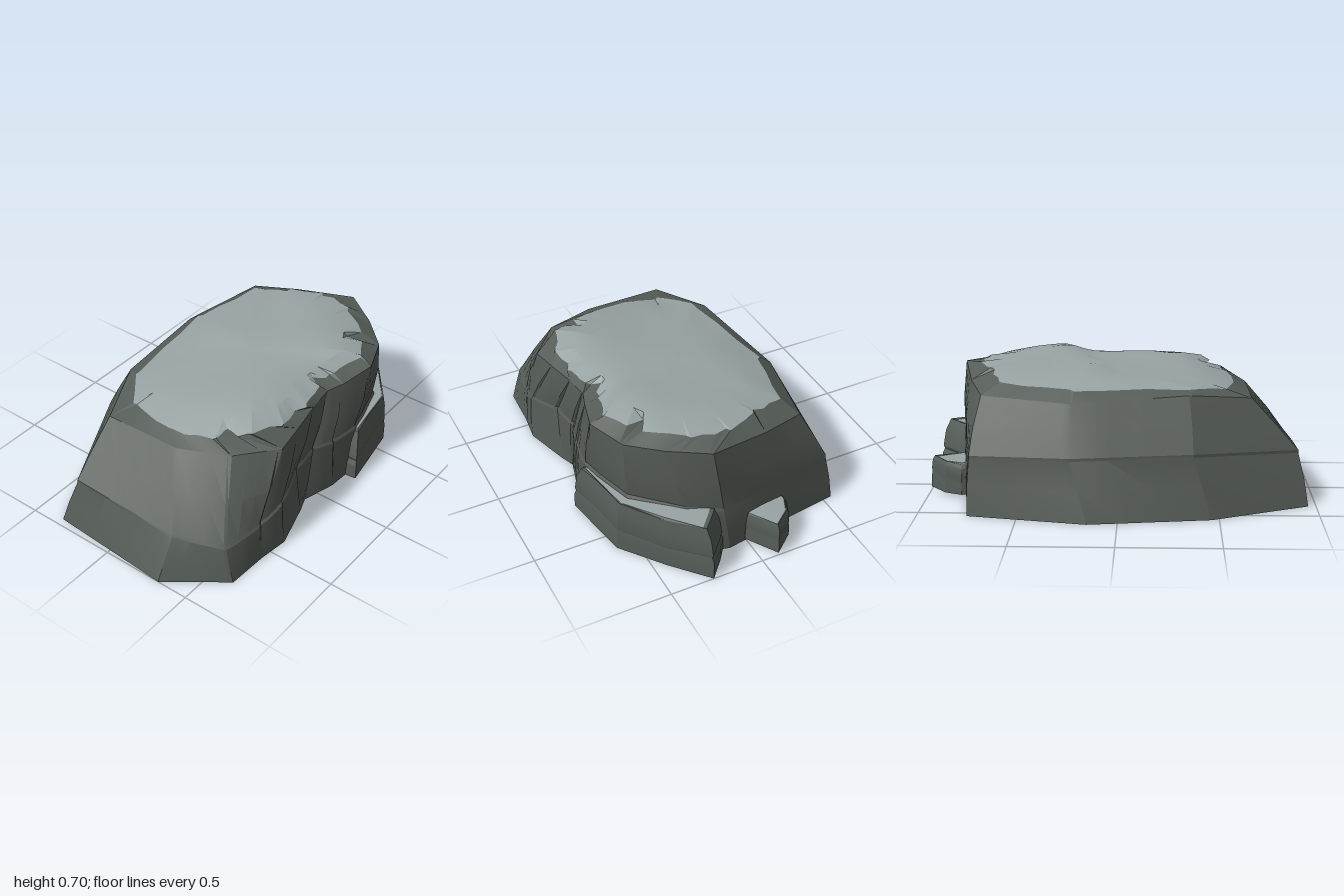
import * as THREE from 'three';
import { toCreasedNormals } from 'three/addons/utils/BufferGeometryUtils.js';

const stone = new THREE.MeshStandardMaterial({ color: 0x565d58 });
const pale = new THREE.MeshStandardMaterial({ color: 0x99a4a5 });

// Seeded random in -1..1
let seed = 7;
const rnd = () => {
  seed = (seed * 16807) % 2147483647;
  return (seed / 2147483647) * 2 - 1;
};

// Skin between closed rings, listed bottom to top, points clockwise from above
function loft(name, rings, material, crease = 0.3) {
  const pos = [];
  const tri = (a, b, c) => {
    const n = new THREE.Vector3().subVectors(b, a).cross(new THREE.Vector3().subVectors(c, a));
    if (n.length() > 1e-8) for (const p of [a, b, c]) pos.push(p.x, p.y, p.z);
  };
  for (let i = 0; i + 1 < rings.length; i++) {
    const lo = rings[i], hi = rings[i + 1];
    lo.forEach((a, j) => {
      const k = (j + 1) % lo.length;
      tri(a, hi[j], hi[k]);
      tri(a, hi[k], lo[k]);
    });
  }
  const g = new THREE.BufferGeometry();
  g.setAttribute('position', new THREE.Float32BufferAttribute(pos, 3));
  const mesh = new THREE.Mesh(toCreasedNormals(g, crease), material);
  mesh.name = name;
  return mesh;
}

const V = (x, y, z) => new THREE.Vector3(x, y, z);
const collapse = (ring, p) => ring.map(() => p.clone());

// Insert points along each side of a ring, at the given fractions
const SPLIT = [0, .08, .4, .7];
const subdivide = ring => ring.flatMap((p, i) =>
  SPLIT.map(t => p.clone().lerp(ring[(i + 1) % ring.length], t)));

// Scale a ring about a vertical axis at c, at a new height
const inset = (ring, c, k, y) =>
  ring.map(p => V(c.x + (p.x - c.x) * k, y, c.z + (p.z - c.z) * k));

// Main boulder outlines: foot (x, z), then belt, shoulder and pale edge (x, y, z)
const FOOT = [
  [-.96, -.34], [-.46, -.58], [.15, -.67], [.75, -.55], [.80, -.2], [.85, .1], [.80, .3], [.6, .55],
  [.28, .61], [.1, .6], [-.08, .55], [-.16, .58], [-.4, .65], [-.56, .63], [-.78, .62], [-1, .33]];
const BELT = [
  [-.91, .28, -.26], [-.37, .32, -.52], [.23, .31, -.58], [.74, .3, -.5],
  [.8, .3, -.18], [.85, .28, .14], [.78, .3, .31], [.58, .31, .53],
  [.28, .31, .62], [.1, .31, .6], [-.03, .33, .56], [-.2, .32, .58],
  [-.4, .27, .64], [-.55, .22, .62], [-.77, .2, .58], [-.9, .24, .34]];
const SHOULDER = [
  [-.67, .56, -.24], [-.35, .6, -.38], [.23, .57, -.46], [.69, .59, -.36],
  [.77, .62, -.12], [.84, .66, .2], [.71, .65, .39], [.57, .64, .54],
  [.37, .65, .62], [.19, .62, .57], [.1, .62, .54], [-.03, .61, .55],
  [-.2, .6, .58], [-.37, .58, .6], [-.56, .58, .44], [-.66, .56, .18]];
const EDGE = [
  [-.57, .59, -.18], [-.38, .62, -.31], [.22, .62, -.39], [.6, .64, -.3],
  [.67, .675, -.12], [.75, .68, .06], [.70, .68, .25], [.57, .68, .44],
  [.38, .68, .55], [.2, .65, .5], [.08, .65, .5], [-.08, .64, .54],
  [-.27, .63, .53], [-.43, .65, .46], [-.54, .61, .33], [-.59, .59, .1]];

function boulder() {
  const group = new THREE.Group();
  group.name = 'boulder';
  const foot = subdivide(FOOT.map(([x, z]) => V(x, .02, z)));
  const [belt, shoulder, edge] = [BELT, SHOULDER, EDGE].map(r => subdivide(r.map(p => V(...p))));

  // Slightly swollen lower and upper courses
  const mid = (a, b, out) => a.map((p, j) => {
    const m = p.clone().lerp(b[j], .5);
    return V(m.x * out, m.y, m.z * out);
  });
  const low = mid(foot, belt, 1.006), high = mid(belt, shoulder, 1.012);

  // Seam above the lower course, fading out towards the back
  const groove = belt.map(p => {
    const k = 1 - .012 * THREE.MathUtils.clamp(p.z * 3, 0, 1);
    return V(p.x * k, p.y + .015, p.z * k);
  });

  // Narrow upright cracks down the front face
  for (const ring of [low, belt, groove, high]) {
    for (let col = 8; col < 15; col++) ring[col * SPLIT.length].z -= .009;
  }

  // Ragged border with dark wedges biting into the pale top
  const ragged = edge.map(p => {
    const k = 1 + rnd() * .018 - .12 * rnd() ** 8;
    return V(p.x * k, p.y + rnd() * .006, p.z * k);
  });
  group.add(loft('flank',
    [collapse(foot, V(0, .02, 0)), foot, low, belt, groove, high, shoulder, ragged], stone));

  // Uneven pale top, sloping down to the back left, with a shallow step across it
  const c = V(.07, .677, .08);
  const terrace = [.82, .64, .42, .2].map(k => edge.map(p => {
    const q = c.clone().lerp(p, k);
    const plateau = .67 + .08 * q.z + .03 * q.x + .008 * Math.sin(q.x * 9 + 1) * Math.cos(q.z * 7)
      + .008 * Math.tanh((q.x - .1 - .4 * q.z) * 25);
    q.y = THREE.MathUtils.lerp(plateau, p.y, k > .7 ? .4 : 0);
    return q;
  }));
  group.add(loft('paleTop', [ragged, ...terrace, collapse(edge, c)], pale));
  return group;
}

// Low side ledge: two stacked courses with a wavy seam and a pale top
function ledge(name, outline, c, y0, seam, top, wave) {
  const group = new THREE.Group();
  group.name = name;
  const base = outline.map(([x, z]) => V(x, y0, z));
  const ring = (k, y) => {
    const r = inset(base, c, k, y);
    r.forEach((p, j) => { p.y += wave * Math.sin(j * 2.1); });
    return r;
  };
  const rim = ring(.88, top);
  const lip = inset(rim, c, .94, top);
  group.add(loft(name + 'Side', [
    collapse(base, V(c.x, y0, c.z)), base, ring(1, seam - .03), ring(.97, seam),
    ring(.985, seam + .015), ring(.95, (seam + top) / 2 + .02), rim, lip], stone));
  group.add(loft(name + 'Top', [lip, collapse(lip, V(c.x, top + .005, c.z))], pale));
  return group;
}

export function createModel() {
  const model = new THREE.Group();
  model.name = 'rock';
  model.add(boulder());
  model.add(ledge('frontLedge',
    [[.32, .42], [.68, .2], [.82, .12], [.9, .18], [1, .27], [.82, .43], [.6, .6], [.4, .635], [.22, .665], [.21, .58]],
    V(.58, 0, .42), .02, .14, .305, .012));
  model.add(ledge('sideLedge',
    [[.7, -.05], [.72, -.22], [.82, -.24], [.91, -.2], [1, -.09], [.84, .01]],
    V(.82, 0, -.09), .035, .115, .2, .008));
  return model;
}
